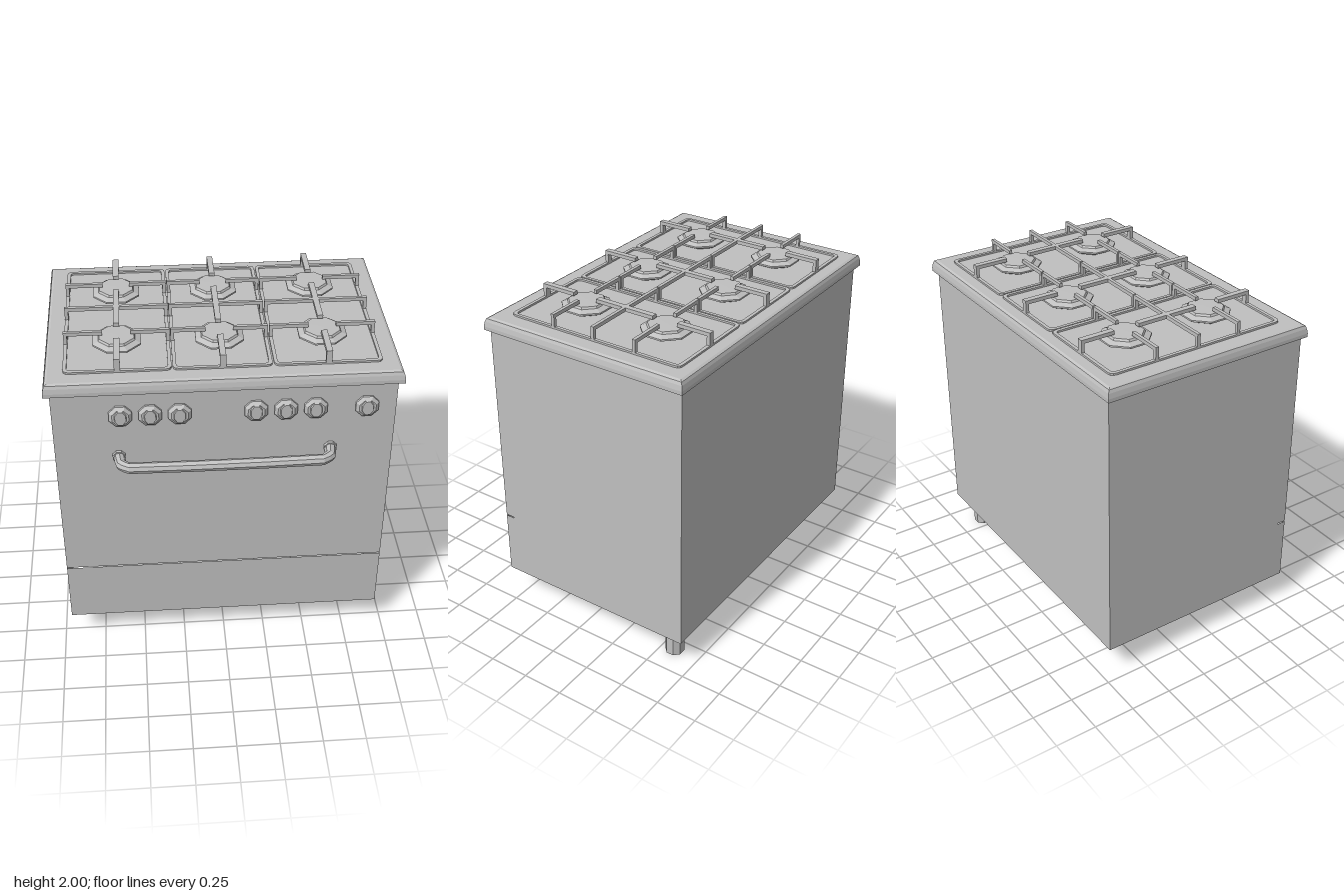
import * as THREE from 'three';

const steel = new THREE.MeshStandardMaterial({ color: 0xc0c0c0, flatShading: true, side: THREE.DoubleSide });
steel.name = 'steel grey';

function add(parent, name, geometry, x = 0, y = 0, z = 0) {
  const mesh = new THREE.Mesh(geometry, steel);
  mesh.name = name;
  mesh.position.set(x, y, z);
  parent.add(mesh);
  return mesh;
}

// Box given by its limits on each axis
function box(parent, name, x0, x1, y0, y1, z0, z1) {
  return add(parent, name, new THREE.BoxGeometry(x1 - x0, y1 - y0, z1 - z0),
    (x0 + x1) / 2, (y0 + y1) / 2, (z0 + z1) / 2);
}

// Closed solid through stacked rectangles of half width w, half depth d, height y
function loft(rings) {
  const pos = [], index = [];
  for (const [w, d, y] of rings) pos.push(-w, y, d, w, y, d, w, y, -d, -w, y, -d);
  for (let r = 0; r < rings.length - 1; r++) {
    for (let i = 0; i < 4; i++) {
      const a = r * 4 + i, b = r * 4 + (i + 1) % 4;
      index.push(a, b, b + 4, a, b + 4, a + 4);
    }
  }
  const t = (rings.length - 1) * 4;
  index.push(0, 2, 1, 0, 3, 2, t, t + 1, t + 2, t, t + 2, t + 3);
  const g = new THREE.BufferGeometry();
  g.setAttribute('position', new THREE.Float32BufferAttribute(pos, 3));
  g.setIndex(index);
  const flat = g.toNonIndexed();
  flat.computeVertexNormals();
  return flat;
}

function roundedRect(target, x0, x1, y0, y1, r) {
  target.moveTo(x0 + r, y0);
  target.lineTo(x1 - r, y0);
  target.quadraticCurveTo(x1, y0, x1, y0 + r);
  target.lineTo(x1, y1 - r);
  target.quadraticCurveTo(x1, y1, x1 - r, y1);
  target.lineTo(x0 + r, y1);
  target.quadraticCurveTo(x0, y1, x0, y1 - r);
  target.lineTo(x0, y0 + r);
  target.quadraticCurveTo(x0, y0, x0 + r, y0);
  return target;
}

// Eight-sided turned form with flats facing the axes
function octagon(profile) {
  const points = profile.map(([r, y]) => new THREE.Vector2(r, y));
  return new THREE.LatheGeometry(points, 8, Math.PI / 8);
}

function buildBody() {
  const body = new THREE.Group();
  body.name = 'body';
  const W = 0.95, back = -0.705, front = 0.567, doorBack = 0.51, base = 0.185, seam = 0.58, top = 1.85;
  // Open-bottomed shell of thin sheets
  add(body, 'backWall', new THREE.PlaneGeometry(2 * W, top - base).rotateY(Math.PI), 0, (top + base) / 2, back);
  add(body, 'lowerFront', new THREE.PlaneGeometry(2 * W, seam - base), 0, (seam + base) / 2, front);
  for (const s of [-1, 1]) {
    const name = s > 0 ? 'left' : 'right';
    const lower = new THREE.PlaneGeometry(front - back, seam - base).rotateY(s * Math.PI / 2);
    const upper = new THREE.PlaneGeometry(doorBack - back, top - seam).rotateY(s * Math.PI / 2);
    add(body, name + 'LowerWall', lower, s * W, (seam + base) / 2, (front + back) / 2);
    add(body, name + 'UpperWall', upper, s * W, (top + seam) / 2, (doorBack + back) / 2);
  }
  // Oven front above the seam, with a raised panel inside
  box(body, 'ovenFront', -W, W, seam + 0.006, top, doorBack, front);
  box(body, 'ovenFrontLiner', -W + 0.04, W - 0.04, seam + 0.04, top - 0.04, doorBack - 0.004, doorBack);
  // Foot under the rear left corner
  add(body, 'foot', new THREE.CylinderGeometry(0.057, 0.057, 0.19, 8).rotateY(Math.PI / 8), 0.83, 0.095, -0.583);
  return body;
}

function buildControls() {
  const controls = new THREE.Group();
  controls.name = 'controls';
  // Knobs: faceted dial with an upright grip
  const dial = octagon([[0, 0], [0.069, 0], [0.069, 0.014], [0.05, 0.028], [0, 0.028]]).rotateX(Math.PI / 2);
  const grip = new THREE.CylinderGeometry(0.045, 0.062, 0.026, 8).rotateY(Math.PI / 8)
    .rotateX(Math.PI / 2).scale(0.72, 1.02, 1);
  for (const x of [-0.575, -0.412, -0.25, 0.17, 0.335, 0.5, 0.785]) {
    add(controls, 'knob', dial, x, 1.695, 0.566);
    add(controls, 'knobGrip', grip, x, 1.695, 0.588);
  }
  // Bent tube handle with end collars
  const path = new THREE.CurvePath();
  const points = [[-0.595, 0.565], [-0.585, 0.65], [-0.545, 0.686], [-0.2, 0.692],
    [0.2, 0.692], [0.545, 0.686], [0.585, 0.65], [0.595, 0.565]].map(([x, z]) => new THREE.Vector3(x, 1.42, z));
  for (let i = 1; i < points.length; i++) path.add(new THREE.LineCurve3(points[i - 1], points[i]));
  add(controls, 'handle', new THREE.TubeGeometry(path, 48, 0.032, 8));
  const collar = new THREE.CylinderGeometry(0.038, 0.038, 0.02, 8).rotateY(Math.PI / 8).rotateX(Math.PI / 2);
  for (const s of [-1, 1]) add(controls, 'handleCollar', collar, s * 0.595, 1.42, 0.576);
  return controls;
}

function buildGrate(x0, x1) {
  const grate = new THREE.Group();
  grate.name = 'grate';
  const z0 = -0.64, z1 = 0.475, low = 1.912, top = 2, under = 1.978, t = 0.02;
  const c = (x0 + x1) / 2, mid = -0.087, burners = [-0.355, 0.18], reach = 0.078;
  // Low frame resting on the hob
  const shape = roundedRect(new THREE.Shape(), x0, x1, -z1, -z0, 0.035);
  shape.holes.push(roundedRect(new THREE.Path(), x0 + t, x1 - t, -z1 + t, -z0 - t, 0.022));
  const frame = new THREE.ExtrudeGeometry(shape, { depth: 0.014, bevelEnabled: false, curveSegments: 3 });
  add(grate, 'grateFrame', frame.rotateX(-Math.PI / 2), 0, low, 0);
  // Bars running sideways, each with a post at the frame
  for (const z of [...burners, mid]) {
    const end = z === mid ? 0 : reach;
    box(grate, 'grateBar', x0, c - end, under, top, z - 0.01, z + 0.01);
    box(grate, 'grateBar', c + end, x1, under, top, z - 0.01, z + 0.01);
    for (const x of [x0, x1 - t]) box(grate, 'gratePost', x, x + t, low, under, z - 0.01, z + 0.01);
  }
  // Bars running front to back
  const spans = [[z0, burners[0] - reach], [burners[0] + reach, burners[1] - reach], [burners[1] + reach, z1]];
  for (const [a, b] of spans) box(grate, 'grateBar', c - 0.017, c + 0.017, under, top, a, b);
  for (const z of [z0, z1 - t]) box(grate, 'gratePost', c - 0.017, c + 0.017, low, under, z, z + t);
  // Burners
  const burner = octagon([[0.1, 0], [0.146, 0.022], [0.146, 0.032], [0.112, 0.046], [0.105, 0.058], [0, 0.06]]);
  for (const z of burners) add(grate, 'burner', burner, c, 1.914, z);
  return grate;
}

export function createModel() {
  const model = new THREE.Group();
  model.name = 'cooker';
  model.add(buildBody(), buildControls());
  // Hob slab with softened upper edge
  add(model, 'hob', loft([[0.984, 0.656, 1.84], [0.984, 0.656, 1.862], [0.979, 0.651, 1.89],
    [0.972, 0.644, 1.908], [0.958, 0.63, 1.915]]), 0, 0, -0.073);
  for (const [x0, x1] of [[-0.875, -0.284], [-0.278, 0.268], [0.276, 0.875]]) model.add(buildGrate(x0, x1));
  return model;
}
